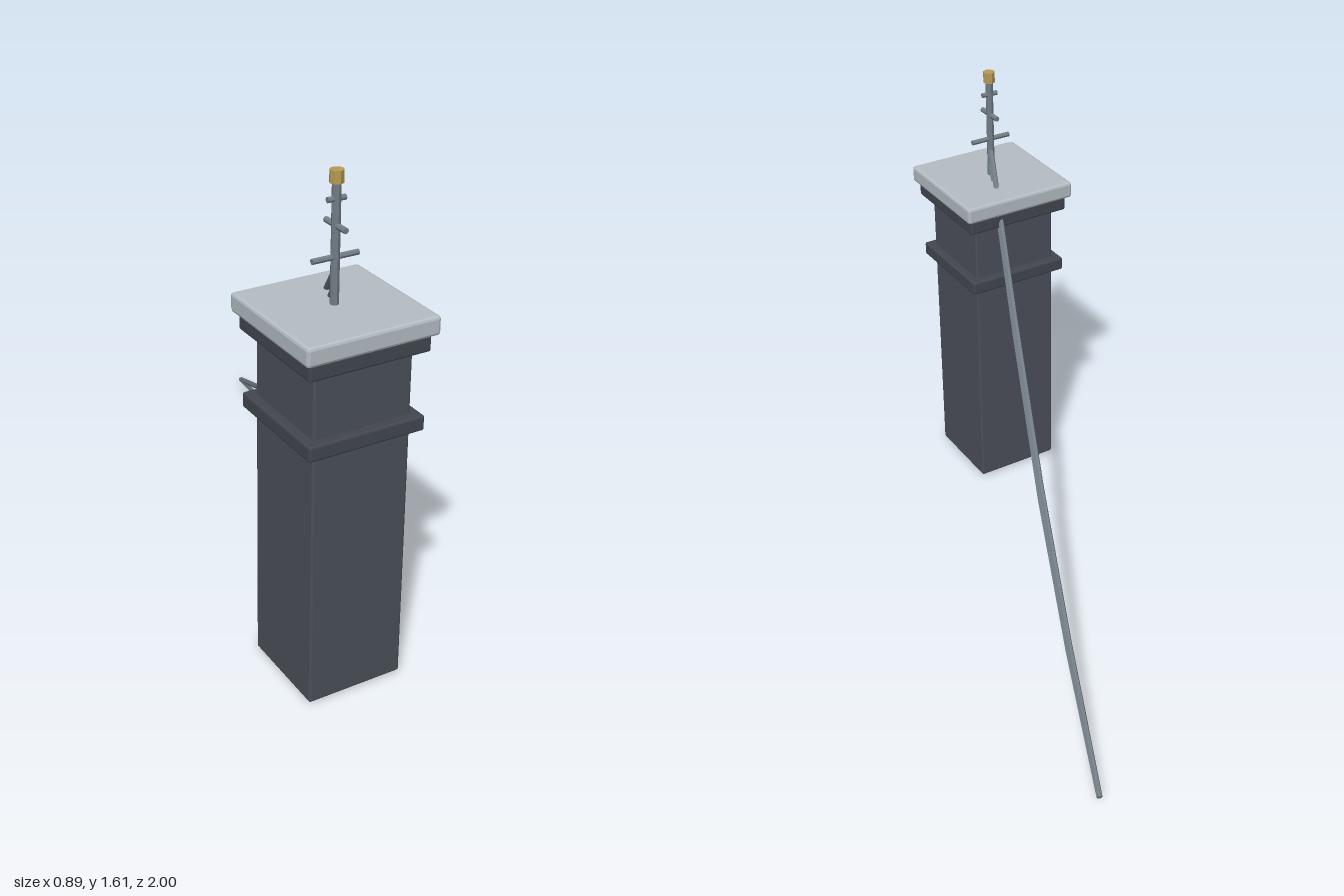
import * as THREE from 'three';
import { RoundedBoxGeometry } from 'three/addons/geometries/RoundedBoxGeometry.js';

const material = (name, color) => {
  const m = new THREE.MeshStandardMaterial({ color, flatShading: true });
  m.name = name;
  return m;
};

export function createModel() {
  const group = new THREE.Group();
  group.name = 'chimneyWithMast';
  const stone = material('dark stone', 0x4c505a);
  const trim = material('darker trim', 0x434750);
  const concrete = material('pale concrete', 0xb6bfc6);
  const steel = material('grey steel', 0x737e86);
  const brass = material('brass', 0xb89c55);
  const cx = -0.233, cz = 0.786;

  const add = (name, geometry, mat) => {
    const mesh = new THREE.Mesh(geometry, mat);
    mesh.name = name;
    group.add(mesh);
    return mesh;
  };

  // Square block around the chimney axis, with softly chamfered edges
  const block = (name, width, y0, y1, bevel, mat) =>
    add(name, new RoundedBoxGeometry(width, y1 - y0, width, 1, bevel), mat)
      .position.set(cx, (y0 + y1) / 2, cz);

  // Round bar between two points
  const bar = (name, a, b, radius, sides, mat) => {
    const dir = b.clone().sub(a);
    const mesh = add(name, new THREE.CylinderGeometry(radius, radius, dir.length(), sides), mat);
    mesh.position.copy(a).add(b).multiplyScalar(0.5);
    mesh.quaternion.setFromUnitVectors(new THREE.Vector3(0, 1, 0), dir.normalize());
  };
  const at = (x, y, z) => new THREE.Vector3(cx + x, y, cz + z);

  // Chimney stack
  block('shaft', 0.32, 0.008, 1.108, 0.006, stone);
  block('lowerBand', 0.38, 0.857, 0.905, 0.006, trim);
  block('collar', 0.392, 1.107, 1.158, 0.006, trim);
  block('capSlab', 0.428, 1.16, 1.219, 0.009, concrete);

  // Mast with alternating crossbars and a brass tip
  bar('mast', at(0, 1.21, 0), at(0, 1.59, 0), 0.0135, 8, steel);
  bar('lowerCrossbar', at(-0.075, 1.36, 0), at(0.075, 1.36, 0), 0.009, 8, steel);
  bar('middleCrossbar', at(0, 1.453, -0.052), at(0, 1.453, 0.052), 0.009, 8, steel);
  bar('upperCrossbar', at(-0.029, 1.53, 0), at(0.029, 1.53, 0), 0.009, 8, steel);
  bar('mastTip', at(0, 1.576, 0), at(0, 1.614, 0), 0.021, 8, brass);

  // Two sagging cables that meet at the ground anchor
  const cables = {
    upperCable: [1.32, 0.88, 0.5, 0.222, 0.011],
    lowerCable: [1.27, 0.815, 0.432, 0.178, 0.011],
  };
  for (const [name, heights] of Object.entries(cables)) {
    const points = heights.map((y, i) => at(i * 0.1675, y, i * -0.445));
    for (let i = 0; i < 4; i++) bar(name, points[i], points[i + 1], 0.01, 6, steel);
  }
  return group;
}
